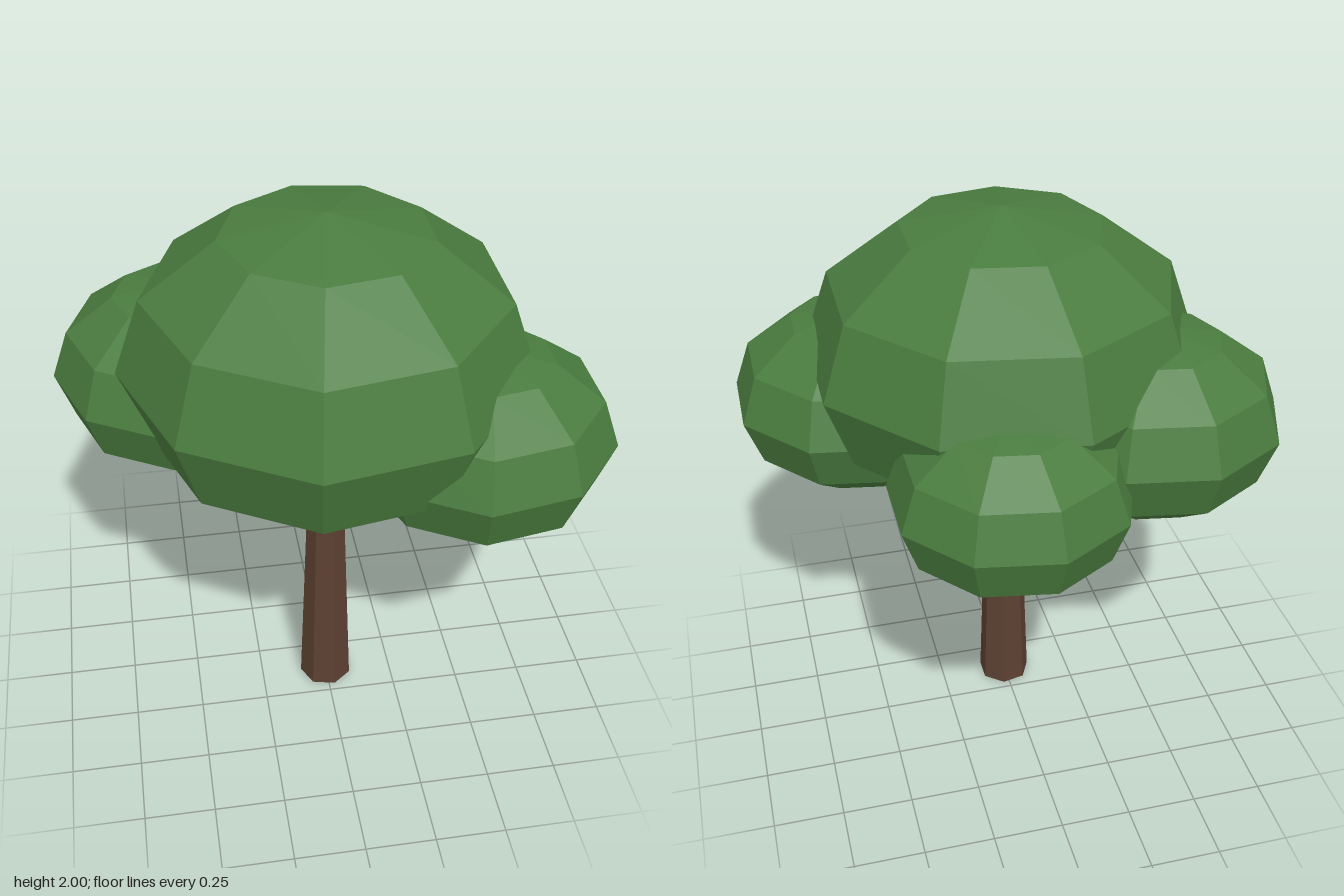
import * as THREE from 'three';

export function createModel() {
  const tree = new THREE.Group();
  tree.name = 'tree';

  const bark = new THREE.MeshStandardMaterial({ color: 0x5c4033, flatShading: true });
  bark.name = 'bark brown';
  const leaf = new THREE.MeshStandardMaterial({ color: 0x4a7c3f, flatShading: true });
  leaf.name = 'leaf green';

  const add = (name, geometry, material) => {
    const mesh = new THREE.Mesh(geometry, material);
    mesh.name = name;
    tree.add(mesh);
    return mesh;
  };

  // Tapered seven-sided trunk
  const trunkZ = 0.123;
  add('trunk', new THREE.CylinderGeometry(0.067, 0.098, 0.88, 7, 1, false, -Math.PI / 2), bark)
    .position.set(0, 0.44, trunkZ);

  // Three thin branches fanning out from near the top of the trunk
  const up = new THREE.Vector3(0, 1, 0);
  const start = new THREE.Vector3(0, 0.78, trunkZ);
  const branches = [['leftBranch', 20], ['rightBranch', 140], ['backBranch', 257]];
  for (const [name, degrees] of branches) {
    const a = THREE.MathUtils.degToRad(degrees);
    const reach = new THREE.Vector3(0.51 * Math.cos(a), 0.375, 0.51 * Math.sin(a));
    const branch = add(name, new THREE.CylinderGeometry(0.016, 0.029, reach.length(), 5), bark);
    branch.position.copy(start).addScaledVector(reach, 0.5);
    branch.quaternion.setFromUnitVectors(up, reach.clone().normalize());
  }

  // Flattened faceted foliage clumps: name, x, y, z, radius, half height
  const clumps = [
    ['mainCanopy', 0, 1.475, 0.123, 0.698, 0.525],
    ['leftCanopy', 0.487, 1.262, 0.335, 0.452, 0.334],
    ['rightCanopy', -0.465, 1.302, -0.16, 0.45, 0.338],
    ['backCanopy', 0.1, 1.23, -0.406, 0.415, 0.311],
  ];
  for (const [name, x, y, z, radius, halfHeight] of clumps) {
    const geometry = new THREE.SphereGeometry(1, 9, 6).scale(radius, halfHeight, radius);
    add(name, geometry, leaf).position.set(x, y, z);
  }

  return tree;
}
